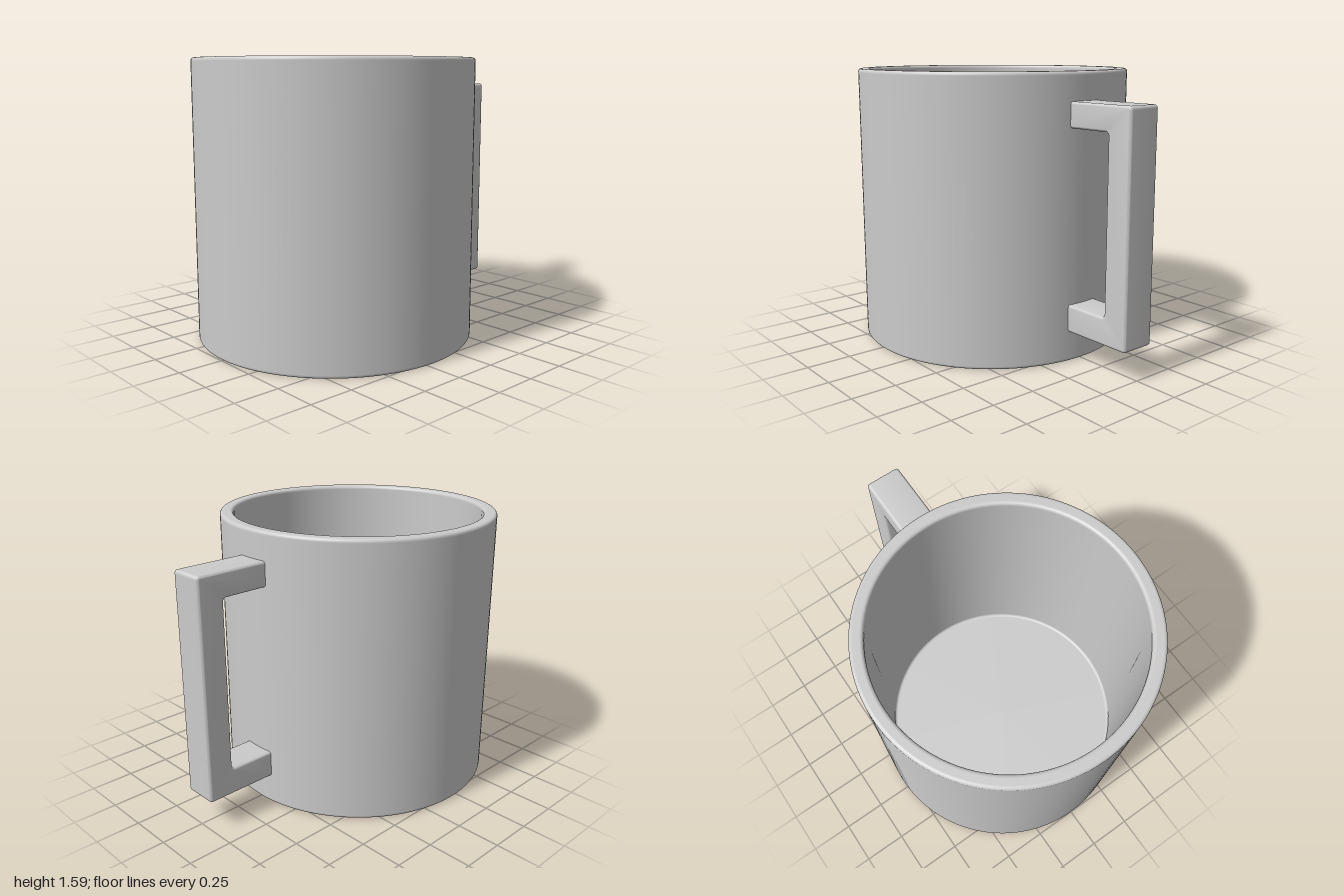
import * as THREE from 'three';
import { toCreasedNormals } from 'three/addons/utils/BufferGeometryUtils.js';

const material = new THREE.MeshStandardMaterial({ color: 0xcccccc });

// Rounds one corner b between neighbours a and c; extra points beside the arc keep the flats flat
function fillet(a, b, c, r, steps = 5) {
  const u = a.clone().sub(b).normalize();
  const v = c.clone().sub(b).normalize();
  const at = (d, t) => b.clone().addScaledVector(d, t);
  const centre = at(u, r).addScaledVector(v, r);
  const arc = [];
  for (let i = 0; i <= steps; i++) {
    const t = (i / steps) * Math.PI / 2;
    arc.push(centre.clone().addScaledVector(v, -r * Math.cos(t)).addScaledVector(u, -r * Math.sin(t)));
  }
  return [at(u, r + 0.004), ...arc, at(v, r + 0.004)];
}

// Points of an outline given as [x, y, corner radius]
function roundedOutline(corners, closed) {
  const p = corners.map(([x, y]) => new THREE.Vector2(x, y));
  const n = p.length;
  return corners.flatMap(([, , r], i) => {
    if (!r || (!closed && (i === 0 || i === n - 1))) return [p[i]];
    return fillet(p[(i + n - 1) % n], p[i], p[(i + 1) % n], r);
  });
}

export function createModel() {
  const mug = new THREE.Group();
  mug.name = 'mug';

  // Cup: solid base, outer wall, rounded rim, inner wall and floor
  const profile = roundedOutline([
    [0, 0, 0], [0.793, 0, 0.016], [0.793, 1.586, 0.018],
    [0.717, 1.586, 0.018], [0.717, 0.08, 0.016], [0, 0.08, 0],
  ], false);
  const cup = new THREE.Mesh(new THREE.LatheGeometry(profile, 128), material);
  cup.name = 'cup';
  cup.position.x = -0.207;
  mug.add(cup);

  // Handle: square bracket whose arms end inside the wall
  const bevel = 0.015;
  const depth = 0.2;
  const bracket = new THREE.Shape(roundedOutline([
    [0.55, 0.172, 0], [1, 0.172, 0.018], [1, 1.43, 0.018], [0.55, 1.43, 0],
    [0.55, 1.29, 0], [0.847, 1.29, 0.018], [0.847, 0.325, 0.018], [0.55, 0.325, 0],
  ], true));
  const bar = new THREE.ExtrudeGeometry(bracket, {
    depth: depth - 2 * bevel,
    bevelThickness: bevel, bevelSize: bevel, bevelOffset: -bevel, bevelSegments: 4,
  });
  bar.translate(0, 0, bevel - depth / 2);
  const handle = new THREE.Mesh(toCreasedNormals(bar, 0.45), material);
  handle.name = 'handle';
  mug.add(handle);

  return mug;
}
